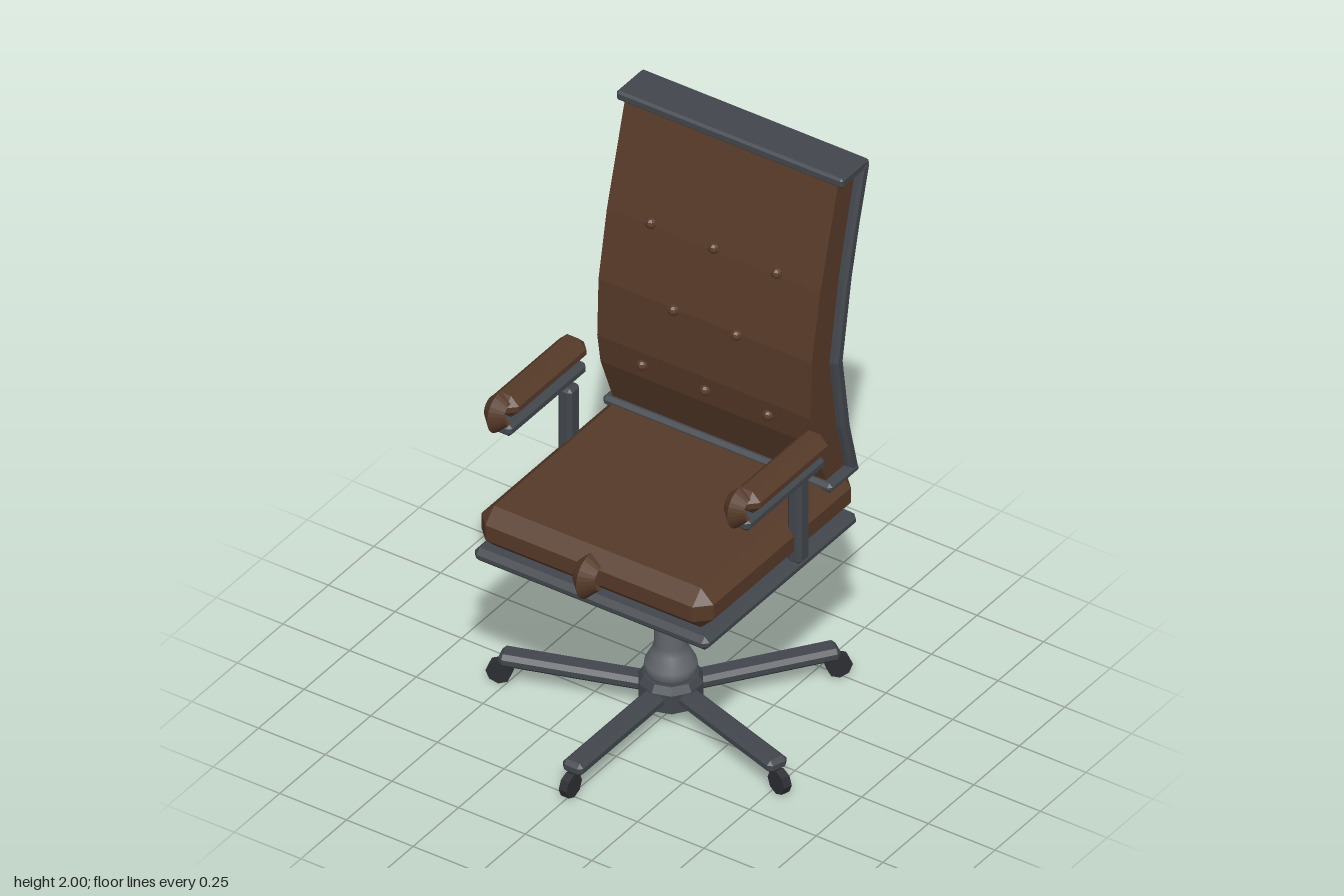
import * as THREE from 'three';
import { ConvexGeometry } from 'three/addons/geometries/ConvexGeometry.js';

const mat = (color) => new THREE.MeshStandardMaterial({ color, flatShading: true });

// Box with all edges and corners cut by c
function chamferBox(w, h, d, c) {
  const pts = [];
  for (const x of [-w / 2, w / 2]) for (const y of [-h / 2, h / 2]) for (const z of [-d / 2, d / 2]) {
    const sx = Math.sign(x) * c, sy = Math.sign(y) * c, sz = Math.sign(z) * c;
    pts.push(
      new THREE.Vector3(x, y - sy, z - sz),
      new THREE.Vector3(x - sx, y, z - sz),
      new THREE.Vector3(x - sx, y - sy, z));
  }
  return new ConvexGeometry(pts);
}

// Side profile of [z, y] points, extruded across x and centred on x = 0
function sideProfile(points, width, bevel = 0) {
  const shape = new THREE.Shape(points.map(([z, y]) => new THREE.Vector2(z, y)));
  const geo = new THREE.ExtrudeGeometry(shape, {
    depth: width - 2 * bevel, bevelEnabled: bevel > 0, bevelThickness: bevel,
    bevelSize: bevel, bevelOffset: -bevel, bevelSegments: 1,
  });
  return geo.translate(0, 0, -(width / 2 - bevel)).rotateY(-Math.PI / 2);
}

// Half ring with a diamond section, bulging towards +z
function halfRoll(radius, tube) {
  return new THREE.TorusGeometry(radius, tube, 4, 14, Math.PI).rotateZ(-Math.PI / 2).rotateY(-Math.PI / 2);
}

export function createModel() {
  const chair = new THREE.Group();
  chair.name = 'officeChair';
  const leather = mat(0x563a28);
  const metal = mat(0x42474d);
  const dark = mat(0x2c2f33);
  const steel = new THREE.MeshStandardMaterial({ color: 0x62676c, side: THREE.DoubleSide });

  const add = (name, geo, material, x = 0, y = 0, z = 0, parent = chair) => {
    const mesh = new THREE.Mesh(geo, material);
    mesh.name = name;
    mesh.position.set(x, y, z);
    parent.add(mesh);
    return mesh;
  };

  // Seat
  add('seatPlate', chamferBox(0.88, 0.05, 0.84, 0.018), metal, 0, 0.68, -0.02);
  add('seatCushion', chamferBox(0.87, 0.15, 0.85, 0.047), leather, 0, 0.785, -0.025);
  add('seatFrontRoll', halfRoll(0.041, 0.041), leather, 0, 0.778, 0.39);

  // Curved backrest cushion: front edge upwards, rear edge downwards
  const backFront = [[-0.32, 0.87], [-0.25, 1.05], [-0.232, 1.16], [-0.239, 1.37], [-0.285, 1.61], [-0.385, 1.97]];
  const railRear = [[-0.525, 1.985], [-0.47, 1.78], [-0.427, 1.6], [-0.378, 1.315], [-0.416, 1.05], [-0.465, 0.85]];
  const backRear = railRear.map(([z, y]) => [z + 0.02, Math.min(y, 1.97)]);
  add('backCushion', sideProfile([...backFront, ...backRear], 0.8), leather);

  // Bent rails on both sides of the backrest
  const railFront = railRear.map(([z, y]) => [z + 0.042, y]).reverse();
  for (const side of [-1, 1]) {
    add('backRail', sideProfile([...railRear, ...railFront], 0.045, 0.01), metal, side * 0.405);
  }
  add('backTopRail', chamferBox(0.85, 0.036, 0.15, 0.008), metal, 0, 1.982, -0.443);
  add('backBottomRail', chamferBox(0.86, 0.036, 0.165, 0.012), metal, 0, 0.86, -0.38);
  add('backBracket', sideProfile([[-0.43, 0.69], [-0.425, 0.875], [-0.468, 0.875], [-0.485, 0.70], [-0.475, 0.69]], 0.5, 0.008), metal);

  // Tufting buttons, set on the front curve of the backrest
  const surfaceZ = (y) => {
    const i = backFront.findIndex((p) => p[1] > y);
    const [z0, y0] = backFront[i - 1], [z1, y1] = backFront[i];
    return z0 + (z1 - z0) * (y - y0) / (y1 - y0);
  };
  const buttonGeo = new THREE.SphereGeometry(0.02, 8, 6);
  for (const [y, xs] of [[1.107, [-0.236, 0, 0.236]], [1.365, [-0.118, 0.118]], [1.62, [-0.236, 0, 0.236]]]) {
    for (const x of xs) add('backButton', buttonGeo, leather, x, y, surfaceZ(y));
  }

  // Armrests
  for (const side of [-1, 1]) {
    const arm = new THREE.Group();
    arm.name = side > 0 ? 'leftArmrest' : 'rightArmrest';
    chair.add(arm);
    add('armPost', chamferBox(0.052, 0.32, 0.06, 0.012), metal, side * 0.43, 0.865, -0.12, arm);
    add('armBar', chamferBox(0.07, 0.046, 0.43, 0.014), metal, side * 0.447, 1.052, 0.015, arm);
    add('armPad', chamferBox(0.102, 0.08, 0.43, 0.03), leather, side * 0.453, 1.127, 0.01, arm);
    add('armFrontRoll', halfRoll(0.038, 0.037), leather, side * 0.45, 1.123, 0.225, arm);
  }

  // Base: column, hub, five legs with wheels
  const base = new THREE.Group();
  base.name = 'base';
  base.position.z = -0.05;
  chair.add(base);
  const column = [[0, 0.14], [0.07, 0.14], [0.085, 0.165], [0.083, 0.19], [0.06, 0.235], [0.052, 0.26],
    [0.05, 0.48], [0.061, 0.53], [0.061, 0.575], [0.055, 0.595], [0, 0.595]];
  add('column', new THREE.LatheGeometry(column.map(([r, y]) => new THREE.Vector2(r, y)), 20), steel, 0, 0, 0, base);
  const hub = [[0, 0.058], [0.105, 0.058], [0.105, 0.125], [0.09, 0.15], [0, 0.15]];
  add('hub', new THREE.LatheGeometry(hub.map(([r, y]) => new THREE.Vector2(r, y)), 10), metal, 0, 0, 0, base);

  const legGeo = chamferBox(0.076, 0.046, 0.5, 0.014);
  const wheelGeo = new THREE.CylinderGeometry(0.042, 0.042, 0.03, 8).rotateZ(Math.PI / 2);
  for (let i = 0; i < 5; i++) {
    const leg = new THREE.Group();
    leg.name = 'baseLeg';
    leg.rotation.y = (i * Math.PI * 2) / 5;
    base.add(leg);
    add('legBar', legGeo, metal, 0, 0.098, 0.3, leg);
    add('wheelStem', new THREE.CylinderGeometry(0.012, 0.012, 0.04, 6), dark, 0, 0.08, 0.53, leg);
    add('wheel', wheelGeo, dark, 0, 0.042, 0.552, leg);
  }
  return chair;
}
